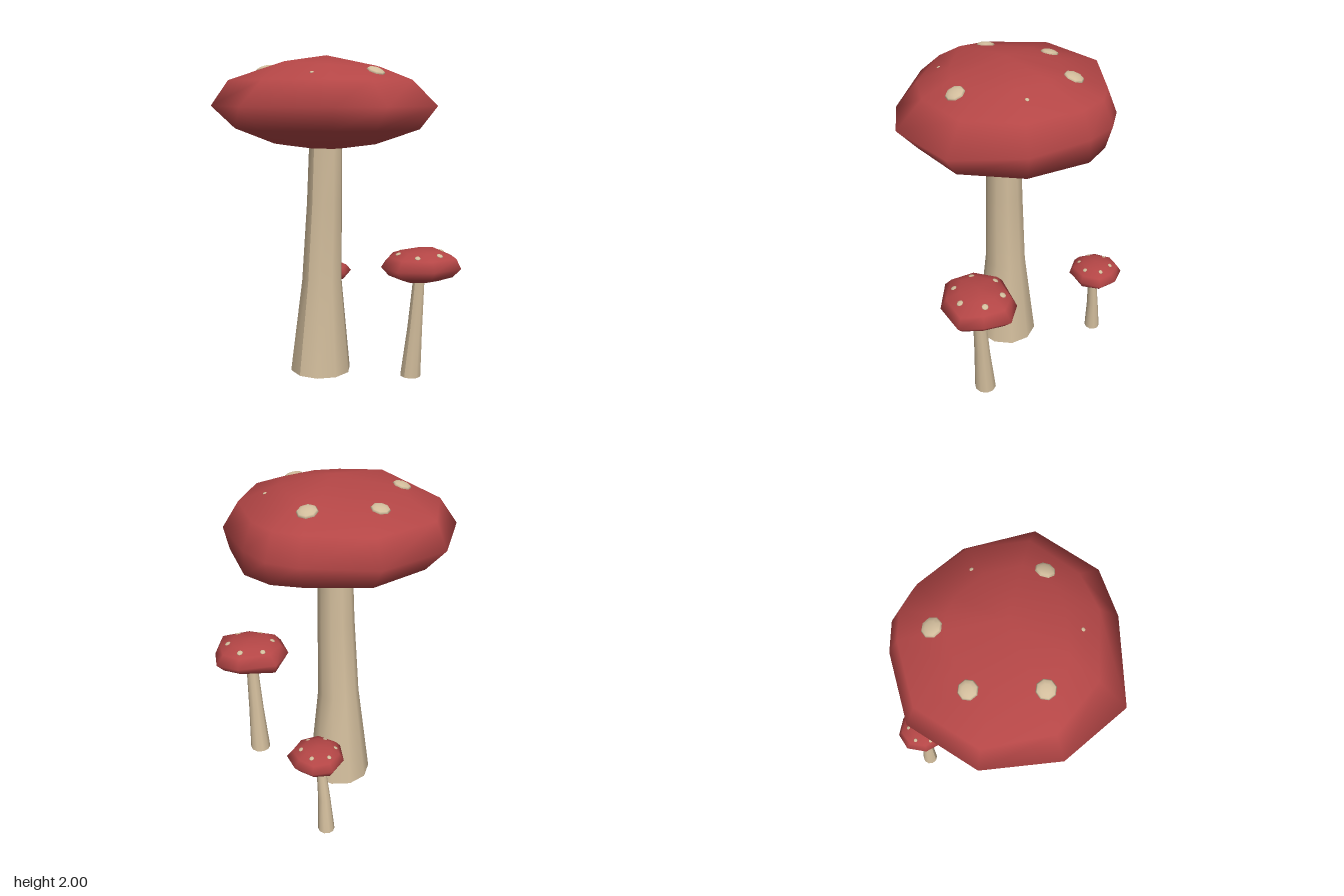
import * as THREE from 'three';

const red = new THREE.MeshStandardMaterial({ color: 0xb44646 });
red.name = 'cap red';
const cream = new THREE.MeshStandardMaterial({ color: 0xd2bd9c });
cream.name = 'stem cream';

// Smooth closed skin: top pole, rings of equal length (top to bottom), bottom pole
function skin(top, rings, bottom) {
  const n = rings[0].length;
  const pos = [top, ...rings.flat(), bottom].flat();
  const last = 1 + n * rings.length;
  const idx = [];
  for (let a = 0; a < n; a++) {
    const b = (a + 1) % n;
    idx.push(0, 1 + b, 1 + a);
    for (let k = 0; k < rings.length - 1; k++) {
      const u = 1 + k * n, l = u + n;
      idx.push(u + a, u + b, l + b, u + a, l + b, l + a);
    }
    idx.push(last - n + a, last - n + b, last);
  }
  const g = new THREE.BufferGeometry();
  g.setAttribute('position', new THREE.Float32BufferAttribute(pos, 3));
  g.setIndex(idx);
  g.computeVertexNormals();
  return g;
}

// Cap from rim columns [x, z, shoulder scale, crown height, underside scale]
// h holds the heights: top, shoulder, rim, under, belly, bottom
function makeCap(cx, cz, columns, h) {
  const ring = (scale, y) => columns.map((c) => {
    const s = scale(c);
    return [cx + (c[0] - cx) * s, y(c), cz + (c[1] - cz) * s];
  });
  const rings = [
    ring(() => 0.5, (c) => c[3]),
    ring((c) => c[2], () => h.shoulder),
    ring(() => 1, () => h.rim),
    ring((c) => c[4], () => h.under),
    ring(() => 0.46, () => h.belly),
    ring(() => 0.16, () => h.bottom),
  ];
  const mesh = new THREE.Mesh(skin([cx, h.top, cz], rings, [cx, h.bottom, cz]), red);
  mesh.name = 'cap';
  return mesh;
}

// Tapered, slightly leaning stem; sections are [x, y, z, radius] from base to top
function makeStem(sections) {
  const sides = 10;
  const g = new THREE.CylinderGeometry(1, 1, 1, sides, sections.length - 1);
  const p = g.attributes.position;
  for (let i = 0; i < p.count; i++) {
    const k = Math.round((p.getY(i) + 0.5) * (sections.length - 1));
    const [x, y, z, r] = sections[k];
    p.setXYZ(i, x + p.getX(i) * r, y, z + p.getZ(i) * r);
  }
  g.computeVertexNormals();
  const mesh = new THREE.Mesh(g, cream);
  mesh.name = 'stem';
  return mesh;
}

// Ring of flattened spots resting on the cap surface
function addSpots(group, cap, cx, cz, ringRadius, sizes) {
  const ray = new THREE.Raycaster();
  sizes.forEach((size, i) => {
    const a = (i * Math.PI) / 3;
    const x = cx + Math.cos(a) * ringRadius, z = cz + Math.sin(a) * ringRadius;
    ray.set(new THREE.Vector3(x, 5, z), new THREE.Vector3(0, -1, 0));
    const hit = ray.intersectObject(cap)[0];
    if (!hit) return;
    const spot = new THREE.Mesh(new THREE.SphereGeometry(1, 8, 6), cream);
    spot.name = 'spot';
    spot.scale.set(size, size * 0.36, size);
    spot.quaternion.setFromUnitVectors(new THREE.Vector3(0, 1, 0), hit.face.normal);
    spot.position.copy(hit.point);
    group.add(spot);
  });
}

function mushroom(name, cx, cz, columns, heights, stem, ringRadius, sizes) {
  const group = new THREE.Group();
  group.name = name;
  const cap = makeCap(cx, cz, columns, heights);
  group.add(cap, makeStem(stem));
  addSpots(group, cap, cx, cz, ringRadius, sizes);
  return group;
}

export function createModel() {
  const model = new THREE.Group();
  model.name = 'mushroomCluster';

  model.add(mushroom('largeMushroom', -0.05, -0.05, [
    [-0.70, -0.27, 0.90, 1.915, 0.85],
    [-0.41, -0.57, 0.90, 1.93, 0.90],
    [-0.25, -0.66, 0.90, 1.935, 0.95],
    [-0.05, -0.665, 0.90, 1.945, 1.00],
    [0.32, -0.56, 0.85, 1.94, 0.95],
    [0.62, -0.27, 0.78, 1.925, 0.85],
    [0.585, 0.155, 0.76, 1.925, 0.82],
    [0.39, 0.38, 0.80, 1.935, 0.80],
    [-0.05, 0.66, 0.75, 1.955, 0.78],
    [-0.46, 0.52, 0.85, 1.92, 0.80],
    [-0.72, 0.17, 0.90, 1.915, 0.83],
  ], { top: 2, shoulder: 1.85, rim: 1.70, under: 1.565, belly: 1.47, bottom: 1.44 }, [
    [-0.095, 0, -0.045, 0.195],
    [-0.08, 0.6, -0.042, 0.128],
    [-0.06, 1.1, -0.045, 0.112],
    [-0.05, 1.5, -0.045, 0.103],
  ], 0.385, [0.057, 0.012, 0.055, 0.055, 0.06, 0.012]));

  model.add(mushroom('mediumMushroom', 0.47, -0.335, [
    [0.34, -0.52, 0.85, 0.818, 0.8],
    [0.47, -0.595, 0.80, 0.822, 0.8],
    [0.61, -0.52, 0.85, 0.82, 0.8],
    [0.715, -0.42, 0.88, 0.82, 0.8],
    [0.66, -0.22, 0.85, 0.82, 0.8],
    [0.49, -0.08, 0.80, 0.82, 0.8],
    [0.32, -0.14, 0.80, 0.815, 0.8],
    [0.23, -0.30, 0.78, 0.81, 0.95],
  ], { top: 0.83, shoulder: 0.785, rim: 0.725, under: 0.67, belly: 0.638, bottom: 0.63 }, [
    [0.415, 0, -0.335, 0.066],
    [0.442, 0.32, -0.335, 0.048],
    [0.467, 0.66, -0.335, 0.036],
  ], 0.145, [0.02, 0.018, 0.018, 0.018, 0.02, 0.02]));

  model.add(mushroom('smallMushroom', -0.45, -0.49, [
    [-0.565, -0.62, 0.85, 0.58, 0.8],
    [-0.45, -0.66, 0.80, 0.582, 0.8],
    [-0.335, -0.63, 0.82, 0.582, 0.8],
    [-0.29, -0.51, 0.88, 0.582, 0.9],
    [-0.32, -0.39, 0.85, 0.58, 0.8],
    [-0.45, -0.33, 0.80, 0.58, 0.8],
    [-0.57, -0.40, 0.82, 0.578, 0.8],
    [-0.615, -0.52, 0.82, 0.575, 0.85],
  ], { top: 0.59, shoulder: 0.555, rim: 0.515, under: 0.475, belly: 0.455, bottom: 0.45 }, [
    [-0.503, 0, -0.478, 0.049],
    [-0.485, 0.22, -0.478, 0.036],
    [-0.452, 0.47, -0.478, 0.025],
  ], 0.1, [0.014, 0.013, 0.013, 0.013, 0.014, 0.014]));

  return model;
}
